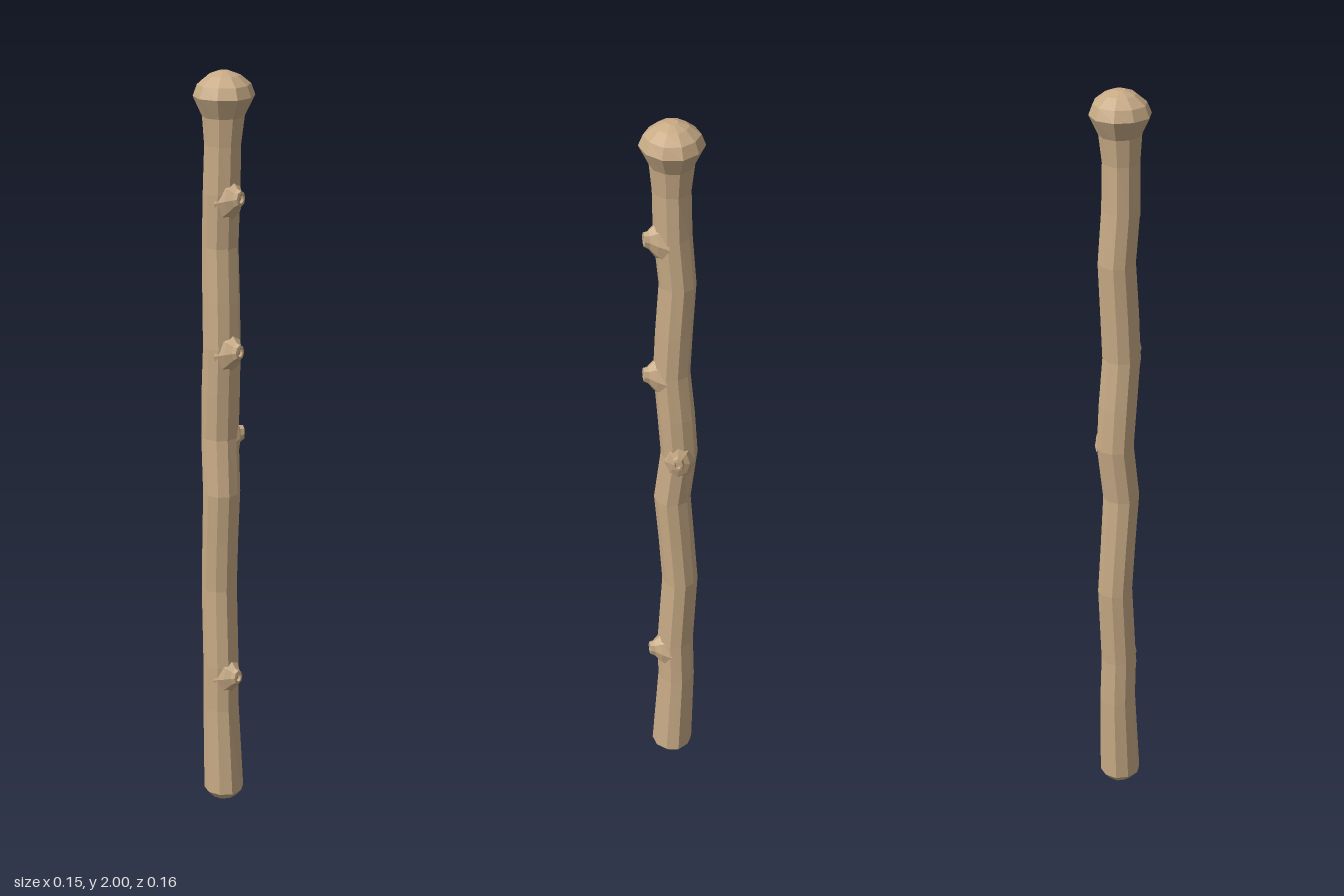
import * as THREE from 'three';

const SIDES = 10;

// cross-sections of the staff: height, radius, sideways offsets x and z
const SECTIONS = [
  [0, 0, 0, 0],
  [0, 0.036, 0, 0],
  [0.022, 0.055, 0, 0],
  [0.27, 0.049, -0.005, -0.011],
  [0.4, 0.048, -0.006, -0.008],
  [0.62, 0.047, -0.007, -0.02],
  [0.76, 0.047, -0.007, -0.01],
  [0.9, 0.048, -0.006, 0.001],
  [1.05, 0.048, -0.005, -0.017],
  [1.17, 0.049, -0.005, -0.009],
  [1.3, 0.048, -0.005, 0.002],
  [1.42, 0.048, -0.005, -0.004],
  [1.56, 0.047, -0.005, -0.013],
  [1.7, 0.048, -0.005, -0.001],
  [1.82, 0.047, -0.003, 0.001],
  [1.89, 0.054, -0.001, 0],
  [1.94, 0.078, 0, 0],
  [1.968, 0.067, 0, 0],
  [1.99, 0.04, 0, 0],
  [2, 0.014, 0, 0],
  [2, 0, 0, 0],
];

// knots: height, angle from the front towards the left, reach from the core, core z
const KNOTS = [
  [0.38, 0.4, 0.074, -0.009],
  [1.05, 1.62, 0.064, -0.019],
  [1.3, 0.38, 0.074, 0.001],
  [1.695, 0.42, 0.074, -0.002],
];

// bent shaft with bevelled foot and domed knob, slightly uneven around
function makeStaff() {
  const profile = SECTIONS.map(([y, r]) => new THREE.Vector2(r, y));
  const geo = new THREE.LatheGeometry(profile, SIDES, 0.15);
  const pos = geo.attributes.position;
  for (let i = 0; i < pos.count; i++) {
    const row = i % SECTIONS.length;
    const side = Math.floor(i / SECTIONS.length) % SIDES;
    const [, , dx, dz] = SECTIONS[row];
    const k = 1 + 0.025 * Math.sin(side * 2.3 + row * 0.5);
    pos.setX(i, pos.getX(i) * k + dx);
    pos.setZ(i, pos.getZ(i) * k + dz);
  }
  geo.computeVertexNormals();
  return geo;
}

// flared collar ending in a cut twig stub with a hollow end
function makeKnot(reach) {
  const profile = [
    [0.06, 0.022], [0.042, 0.046], [0.024, reach - 0.012], [0.019, reach],
    [0.011, reach + 0.001], [0.008, reach - 0.007], [0, reach - 0.007],
  ].map(([r, h]) => new THREE.Vector2(r, h));
  const geo = new THREE.LatheGeometry(profile, 8);
  // narrow the collar across the shaft and let its foot trail downwards
  const pos = geo.attributes.position;
  for (let i = 0; i < pos.count; i++) {
    const drop = Math.max(0, reach - pos.getY(i)) * 0.3;
    pos.setX(i, pos.getX(i) * 0.72);
    pos.setZ(i, pos.getZ(i) * 1.05 + drop);
  }
  geo.rotateX(Math.PI / 2);
  geo.computeVertexNormals();
  return geo;
}

export function createModel() {
  const model = new THREE.Group();
  model.name = 'woodenStaff';
  const wood = new THREE.MeshStandardMaterial({ color: 0xc8ab86, flatShading: true });
  wood.name = 'paleWood';

  const staff = new THREE.Mesh(makeStaff(), wood);
  staff.name = 'staffShaft';
  model.add(staff);

  KNOTS.forEach(([y, angle, reach, z], i) => {
    const knot = new THREE.Mesh(makeKnot(reach), wood);
    knot.name = `knot${i + 1}`;
    knot.position.set(-0.005, y, z);
    knot.rotation.y = angle;
    model.add(knot);
  });
  return model;
}
